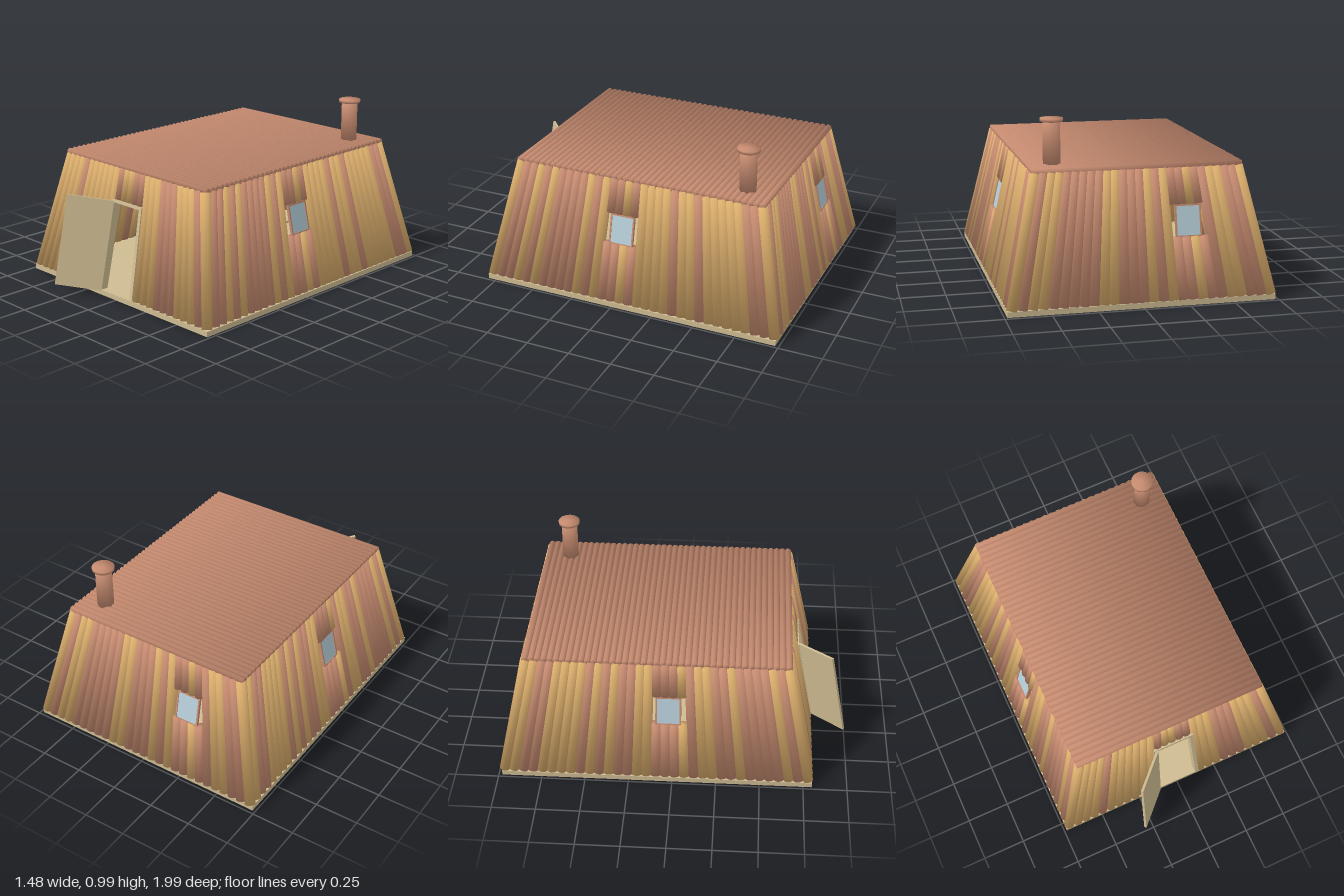
import * as THREE from 'three';

const V = (x, y, z) => new THREE.Vector3(x, y, z);
const mat = (name, color) => {
  const m = new THREE.MeshStandardMaterial({ color });
  m.name = name;
  return m;
};

export function createModel() {
  const tan = mat('tanLog', 0xd9ac6b);
  const brown = mat('brownLog', 0xc68b70);
  const cream = mat('creamPlank', 0xcfbc92);
  const glass = mat('windowGlass', 0xb6ced9);

  const model = new THREE.Group();
  model.name = 'logCabin';
  const group = (name, parent = model) => {
    const g = new THREE.Group();
    g.name = name;
    parent.add(g);
    return g;
  };

  let seed = 11;
  const random = () => (seed = (seed * 16807) % 2147483647) / 2147483647;

  // Round log from a to b, shaded softly over its ends
  function log(parent, name, a, b, r, material, sides = 12) {
    const geo = new THREE.CylinderGeometry(r, r, a.distanceTo(b), sides);
    const p = geo.attributes.position;
    for (let i = 0; i < p.count; i++) {
      const n = V(p.getX(i) / r, Math.sign(p.getY(i)), p.getZ(i) / r).normalize();
      geo.attributes.normal.setXYZ(i, n.x, n.y, n.z);
    }
    const mesh = new THREE.Mesh(geo, material);
    mesh.name = name;
    mesh.position.lerpVectors(a, b, 0.5);
    mesh.quaternion.setFromUnitVectors(V(0, 1, 0), b.clone().sub(a).normalize());
    parent.add(mesh);
  }

  function box(parent, name, w, h, d, x, y, z, material) {
    const mesh = new THREE.Mesh(new THREE.BoxGeometry(w, h, d), material);
    mesh.name = name;
    mesh.position.set(x, y, z);
    parent.add(mesh);
    return mesh;
  }

  // Stand an object at a point with given sideways and upward directions
  function place(object, origin, right, up) {
    const y = up.clone().normalize();
    const z = right.clone().cross(y).normalize();
    object.quaternion.setFromRotationMatrix(new THREE.Matrix4().makeBasis(y.clone().cross(z), y, z));
    object.position.copy(origin);
  }

  // Floor slab
  box(model, 'floorSlab', 1.47, 0.03, 1.78, 0, 0.015, -0.09, cream);

  // Sloping walls: foot and head corners, with one opening each
  const Y0 = 0.03, Y1 = 0.722;
  const foot = { x: 0.71, front: 0.777, back: -0.967 };
  const head = { x: 0.555, front: 0.635, back: -0.82 };
  const corner = (c, y, sx, end) => V(sx * c.x, y, c[end]);

  function wall(name, start, end, count, axis, open, skipEnds) {
    const g = group(name);
    const f0 = corner(foot, Y0, ...start), f1 = corner(foot, Y0, ...end);
    const h0 = corner(head, Y1, ...start), h1 = corner(head, Y1, ...end);
    for (let i = skipEnds; i < count - skipEnds; i++) {
      const u = i / (count - 1);
      const a = f0.clone().lerp(f1, u), b = h0.clone().lerp(h1, u);
      const at = y => a.clone().lerp(b, (y - Y0) / (Y1 - Y0));
      const cut = Math.abs(at((open.y0 + open.y1) / 2)[axis] - open.centre) < open.half;
      const spans = cut ? [[Y0, open.y0], [open.y1, Y1]] : [[Y0, Y1]];
      const material = random() < 0.52 ? tan : brown;
      for (const [lo, hi] of spans) {
        if (hi - lo > 0.02) log(g, 'wallLog', at(lo), at(hi), 0.03, material);
      }
    }
  }

  const sideOpen = { centre: -0.025, half: 0.085, y0: 0.36, y1: 0.53 };
  const backOpen = { centre: -0.26, half: 0.085, y0: 0.36, y1: 0.53 };
  const doorOpen = { centre: 0, half: 0.125, y0: Y0, y1: 0.548 };
  wall('frontWall', [-1, 'front'], [1, 'front'], 27, 'x', doorOpen, 0);
  wall('backWall', [-1, 'back'], [1, 'back'], 27, 'x', backOpen, 0);
  wall('leftWall', [1, 'front'], [1, 'back'], 33, 'z', sideOpen, 1);
  wall('rightWall', [-1, 'front'], [-1, 'back'], 33, 'z', sideOpen, 1);

  // Windows: a pane with a slim border
  function makeWindow(name, origin, right, up) {
    const g = group(name);
    const w = 0.145, h = 0.176, b = 0.009;
    box(g, 'pane', w - b, h - b, 0.008, 0, 0, 0, glass);
    for (const s of [-1, 1]) {
      box(g, 'sideBar', b, h, 0.016, s * (w - b) / 2, 0, 0, brown);
      box(g, 'crossBar', w, b, 0.016, 0, s * (h - b) / 2, 0, brown);
    }
    place(g, origin, right, up);
  }
  const rise = Y1 - Y0;
  for (const s of [1, -1]) {
    makeWindow(s > 0 ? 'leftWindow' : 'rightWindow', V(s * 0.63, 0.445, -0.025),
      V(0, 0, -s), V(s * (head.x - foot.x), rise, 0));
  }
  makeWindow('backWindow', V(-0.26, 0.445, -0.893), V(-1, 0, 0), V(0, rise, head.back - foot.back));

  // Door frame following the slope of the front wall
  const frame = group('doorFrame');
  for (const s of [-1, 1]) {
    const a = V(s * 0.133, 0.03, 0.782), b = V(s * 0.114, 0.545, 0.68);
    const post = box(frame, 'doorPost', 0.022, a.distanceTo(b), 0.05, 0, 0, 0, cream);
    place(post, a.clone().lerp(b, 0.5), V(1, 0, 0), b.clone().sub(a));
  }
  const lintel = box(frame, 'lintel', 0.25, 0.014, 0.05, 0, 0, 0, cream);
  place(lintel, V(0, 0.539, 0.682), V(1, 0, 0), V(0, 0.515, -0.102));

  // Door swung outwards
  const out = V(-0.185, 0.035, 0.19), up = V(0.015, 0.517, -0.098);
  const door = box(model, 'door', out.length(), up.length(), 0.014, 0, 0, 0, cream);
  place(door, V(-0.118, 0.031, 0.803).addScaledVector(out, 0.5).addScaledVector(up, 0.5), out, up);

  // Table inside
  const table = group('table');
  box(table, 'tableTop', 0.44, 0.014, 0.3, 0, 0.237, -0.4, cream);
  for (const x of [-0.18, 0.18]) {
    for (const z of [-0.52, -0.28]) box(table, 'tableLeg', 0.025, 0.2, 0.025, x, 0.13, z, brown);
  }

  // Flat roof of logs lying crosswise
  const roof = group('roof');
  const roofCount = 43;
  for (let i = 0; i < roofCount; i++) {
    const z = THREE.MathUtils.lerp(0.637, -0.823, i / (roofCount - 1));
    log(roof, 'roofLog', V(-0.576, 0.732, z), V(0.576, 0.732, z), 0.0185, brown);
  }

  // Chimney
  const chimney = group('chimney');
  log(chimney, 'chimneyPipe', V(0.44, 0.73, -0.69), V(0.44, 0.98, -0.69), 0.047, brown, 24);
  log(chimney, 'chimneyCap', V(0.44, 0.976, -0.69), V(0.44, 0.993, -0.69), 0.063, brown, 24);

  return model;
}
